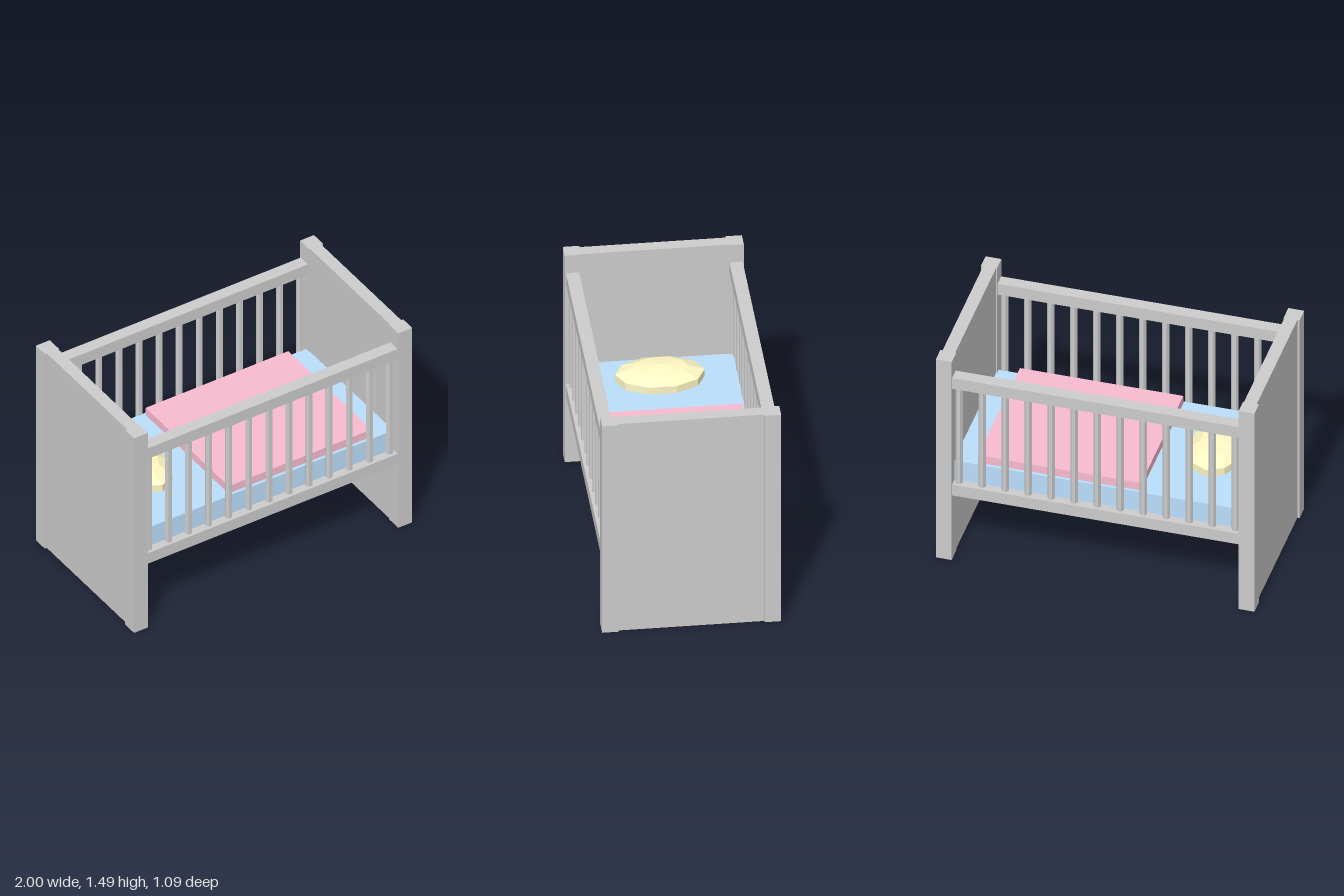
import * as THREE from 'three';

const paint = (color) => new THREE.MeshStandardMaterial({ color, flatShading: true });

export function createModel() {
  const crib = new THREE.Group();
  crib.name = 'crib';
  const wood = paint(0xcccccc);

  const add = (name, geometry, material, x, y, z) => {
    const mesh = new THREE.Mesh(geometry, material);
    mesh.name = name;
    mesh.position.set(x, y, z);
    crib.add(mesh);
    return mesh;
  };
  // box given by its size, bottom height and centre
  const box = (name, w, h, d, x, bottom, z, material = wood) =>
    add(name, new THREE.BoxGeometry(w, h, d), material, x, bottom + h / 2, z);

  // end panels and corner posts
  const height = 1.485;
  for (const sx of [-1, 1]) {
    box('endPanel', 0.08, height, 0.9, sx * 0.946, 0, 0);
    for (const sz of [-1, 1]) box('cornerPost', 0.1, height, 0.1, sx * 0.95, 0, sz * 0.494);
  }

  // side rails with a row of six-sided bars between them
  const barGeometry = new THREE.CylinderGeometry(0.0235, 0.0235, 0.74, 6, 1, false, Math.PI / 6);
  for (const sz of [-1, 1]) {
    const z = sz * 0.497;
    box('lowerRail', 1.8, 0.08, 0.08, 0, 0.48, z);
    box('upperRail', 1.8, 0.08, 0.08, 0, 1.28, z);
    for (let i = 0; i < 13; i++) add('bar', barGeometry, wood, -0.867 + i * 0.1445, 0.92, z);
  }

  // bedding
  box('mattress', 1.82, 0.15, 0.96, 0, 0.55, 0, paint(0xbbdefb));
  box('blanket', 1.025, 0.065, 0.92, 0.2475, 0.69, 0, paint(0xf8bbd0));

  // faceted pillow, its points facing front and back
  const pillowGeometry = new THREE.SphereGeometry(1, 10, 5);
  pillowGeometry.rotateY(Math.PI / 2);
  add('pillow', pillowGeometry, paint(0xfff9c4), -0.617, 0.766, 0).scale.set(0.185, 0.08, 0.286);

  return crib;
}
